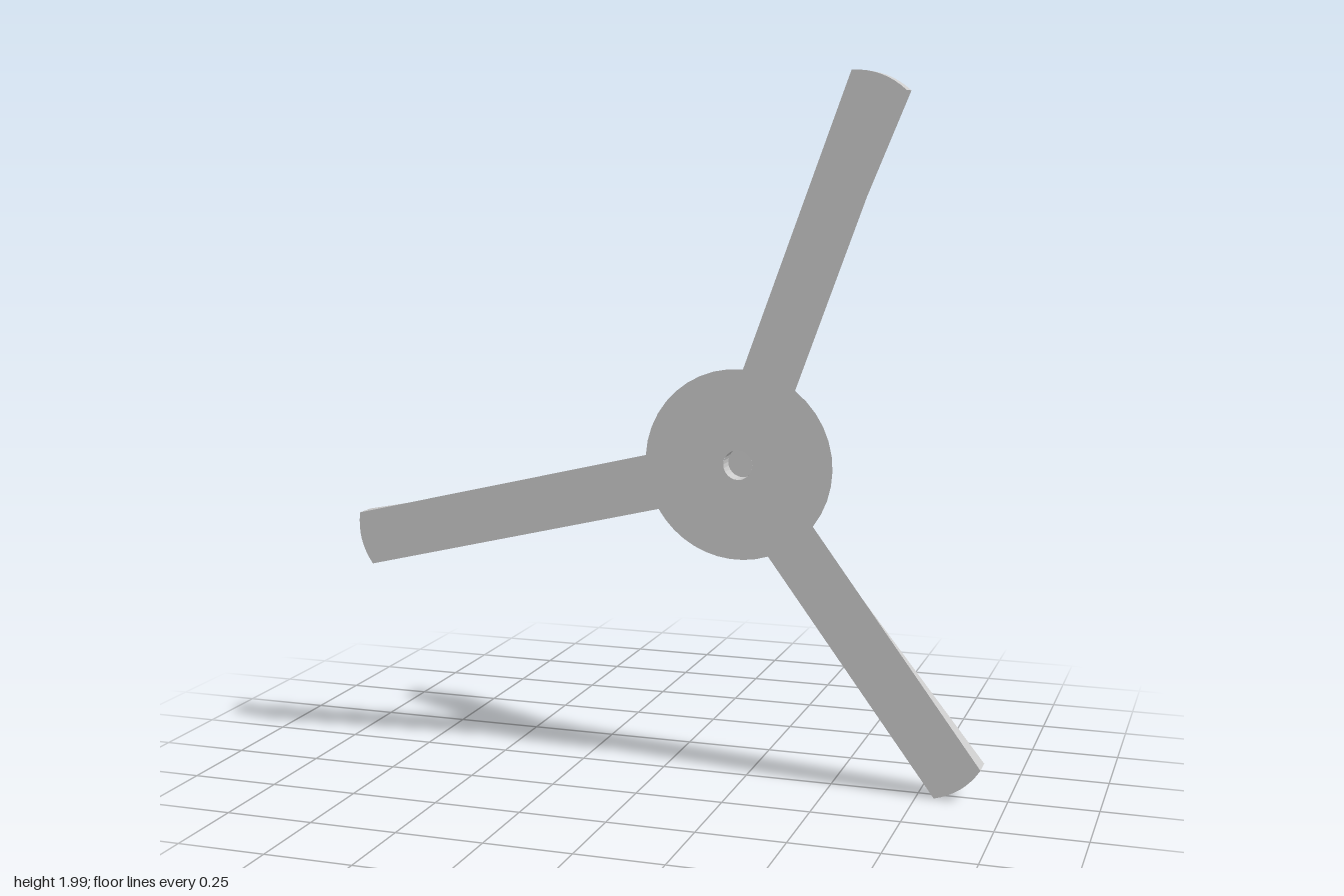
import * as THREE from 'three';

const CX = 0.235, CY = 0.92;          // hub centre
const HUB_R = 0.27, BACK_SCALE = 0.3; // front hub radius, taper to the back cap
const HALF = 0.079, BULGE = 0.016;    // blade half width, tip rounding
const FRONT_Z = 0.056, BACK_Z = -0.068, TIP_THICK = 0.066;
const HOLE_R = 0.042, HOLE_DEPTH = 0.05;

// the rotor leans very slightly
const lean = (x, y) => -0.0117 * x + 0.0157 * y;

// blade angle in degrees and length, counter-clockwise
const BLADES = [[-54.0, 1.07], [69.9, 1.124], [193.6, 1.181]];

// outline around the hub centre: hub arcs joined by blades
function makeOutline() {
  const points = [];
  const rootAngle = Math.asin(HALF / HUB_R);
  const add = (x, y, tip) => points.push({ x, y, tip });
  BLADES.forEach(([deg, length], i) => {
    const a = THREE.MathUtils.degToRad(deg);
    const c = Math.cos(a), s = Math.sin(a);
    // rounded blade tip
    for (let k = 0; k <= 8; k++) {
      const t = k / 4 - 1;
      const u = length + BULGE * (1 - t * t), v = t * HALF;
      add(u * c - v * s, u * s + v * c, true);
    }
    // hub arc to the next blade
    const next = BLADES[(i + 1) % 3][0] + (i === 2 ? 360 : 0);
    const from = a + rootAngle;
    const to = THREE.MathUtils.degToRad(next) - rootAngle;
    for (let k = 0; k <= 10; k++) {
      const h = from + (to - from) * k / 10;
      add(HUB_R * Math.cos(h), HUB_R * Math.sin(h), false);
    }
  });
  return points;
}

function makeRotorGeometry() {
  const outline = makeOutline();
  const front = outline.map(p => new THREE.Vector3(p.x, p.y, FRONT_Z + lean(p.x, p.y)));
  // the hub shrinks toward the back while the tips stay full width
  const back = outline.map((p, i) => {
    if (p.tip) return new THREE.Vector3(p.x, p.y, front[i].z - TIP_THICK);
    const x = p.x * BACK_SCALE, y = p.y * BACK_SCALE;
    return new THREE.Vector3(x, y, BACK_Z + lean(x, y));
  });

  const positions = [];
  const tri = (a, b, c) => [a, b, c].forEach(p => positions.push(p.x, p.y, p.z));
  const flat = list => list.map(p => new THREE.Vector2(p.x, p.y));

  // front face with the shaft hole
  const hole = [];
  for (let k = 0; k < 24; k++) {
    const h = -k / 24 * Math.PI * 2;
    const x = HOLE_R * Math.cos(h), y = HOLE_R * Math.sin(h);
    hole.push(new THREE.Vector3(x, y, FRONT_Z + lean(x, y)));
  }
  const all = [...front, ...hole];
  THREE.ShapeUtils.triangulateShape(flat(front), [flat(hole)])
    .forEach(([a, b, c]) => tri(all[a], all[b], all[c]));

  // back faces of the blades and the small hub cap
  THREE.ShapeUtils.triangulateShape(flat(back), [])
    .forEach(([a, b, c]) => tri(back[a], back[c], back[b]));

  // conical hub wall, blade sides and tips
  for (let i = 0; i < outline.length; i++) {
    const j = (i + 1) % outline.length;
    if (outline[i].tip && !outline[j].tip) {
      tri(front[i], back[i], back[j]);
      tri(front[i], back[j], front[j]);
    } else {
      tri(front[i], back[i], front[j]);
      tri(front[j], back[i], back[j]);
    }
  }

  const geometry = new THREE.BufferGeometry();
  geometry.setAttribute('position', new THREE.Float32BufferAttribute(positions, 3));
  geometry.computeVertexNormals();
  return geometry;
}

export function createModel() {
  const group = new THREE.Group();
  group.name = 'propeller';

  const rotor = new THREE.Mesh(
    makeRotorGeometry(),
    new THREE.MeshStandardMaterial({ color: 0xcccccc, flatShading: true })
  );
  rotor.name = 'hubAndBlades';
  rotor.position.set(CX, CY, 0);
  group.add(rotor);

  // blind shaft hole in the front of the hub
  const socketProfile = [[0, -HOLE_DEPTH], [HOLE_R, -HOLE_DEPTH], [HOLE_R, 0]]
    .map(([r, y]) => new THREE.Vector2(r, y));
  const socket = new THREE.Mesh(
    new THREE.LatheGeometry(socketProfile, 24),
    new THREE.MeshStandardMaterial({ color: 0xcccccc, flatShading: true, side: THREE.DoubleSide })
  );
  socket.name = 'shaftHole';
  socket.rotation.x = Math.PI / 2;
  socket.position.set(CX, CY, FRONT_Z);
  group.add(socket);

  return group;
}
